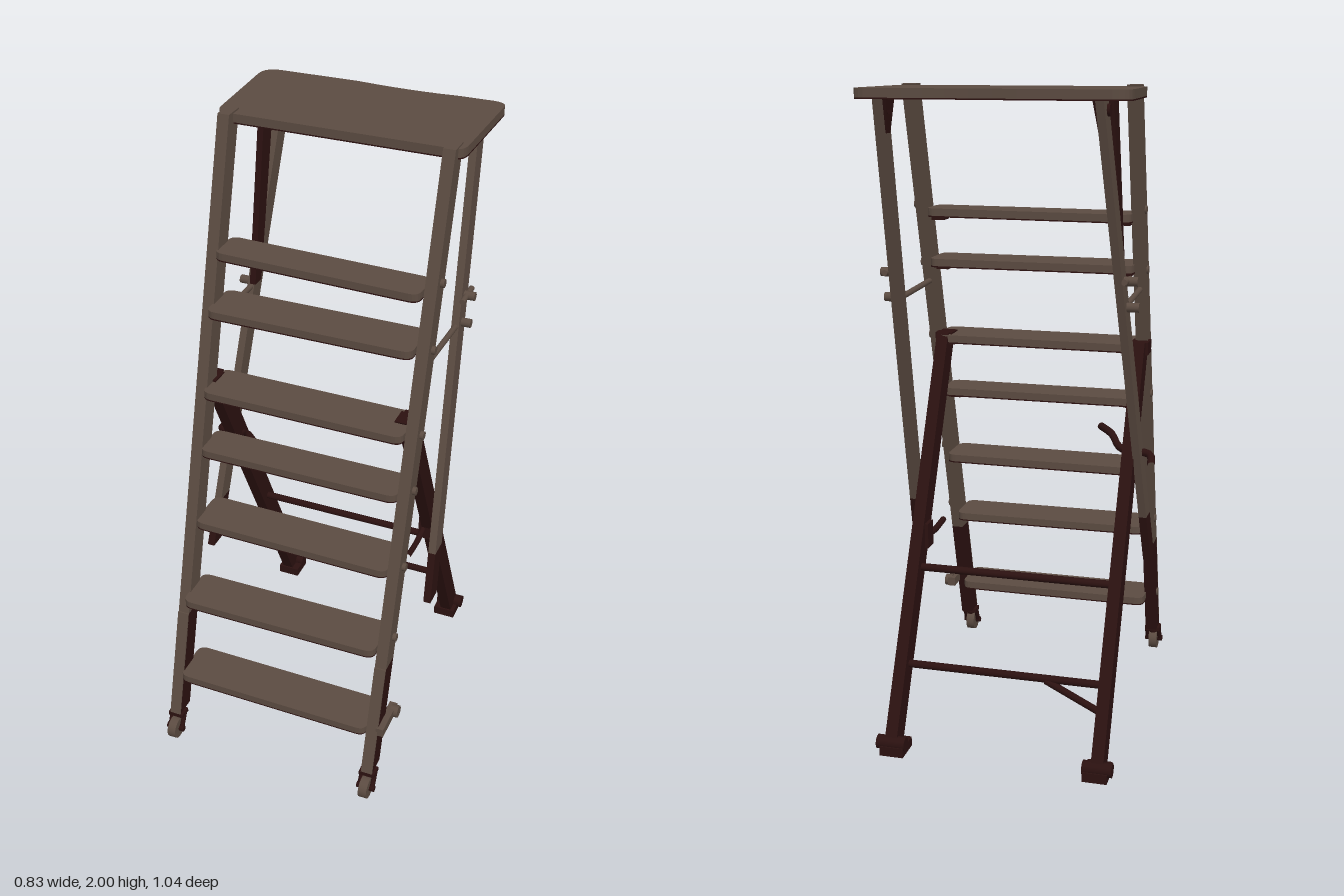
import * as THREE from 'three';

export function createModel() {
  const model = new THREE.Group();
  model.name = 'stepladder';
  const brown = new THREE.MeshStandardMaterial({ color: 0x5b4b41 });
  brown.name = 'weathered brown';
  const dark = new THREE.MeshStandardMaterial({ color: 0x2b1110 });
  dark.name = 'dark red brown';

  const add = (name, geometry, material, x = 0, y = 0, z = 0) => {
    const mesh = new THREE.Mesh(geometry, material);
    mesh.name = name;
    mesh.position.set(x, y, z);
    model.add(mesh);
    return mesh;
  };

  // Leaning bar with level ends, w wide in x and d deep in z
  const lean = (name, a, b, w, d, material, topD = d) => {
    const g = new THREE.BoxGeometry(w, a[1] - b[1], d);
    const p = g.attributes.position;
    for (let i = 0; i < p.count; i++) {
      const top = p.getY(i) > 0;
      const end = top ? a : b;
      p.setXYZ(i, p.getX(i) + end[0], end[1], p.getZ(i) * (top ? topD / d : 1) + end[2]);
    }
    g.computeVertexNormals();
    return add(name, g, material);
  };

  // Round rod between two points
  const rod = (name, a, b, r, material) => {
    const s = new THREE.Vector3(...a), e = new THREE.Vector3(...b);
    const m = add(name, new THREE.CylinderGeometry(r, r, s.distanceTo(e), 10), material);
    m.position.copy(s).lerp(e, 0.5);
    m.quaternion.setFromUnitVectors(new THREE.Vector3(0, 1, 0), e.sub(s).normalize());
    return m;
  };

  // Horizontal board from an outline in x and z, its top face at y = 0
  const board = (shape, depth) => {
    const g = new THREE.ExtrudeGeometry(shape, { depth, bevelEnabled: false, curveSegments: 5 });
    return g.rotateX(Math.PI / 2);
  };
  const rounded = (x0, x1, z0, z1, r) => {
    const s = new THREE.Shape();
    s.moveTo(x0 + r, z0);
    s.lineTo(x1 - r, z0).quadraticCurveTo(x1, z0, x1, z0 + r);
    s.lineTo(x1, z1 - r).quadraticCurveTo(x1, z1, x1 - r, z1);
    s.lineTo(x0 + r, z1).quadraticCurveTo(x0, z1, x0, z1 - r);
    s.lineTo(x0, z0 + r).quadraticCurveTo(x0, z0, x0 + r, z0);
    return s;
  };

  const railZ = y => 0.455 - (y - 0.1) * 0.279;
  const strutZ = y => -0.42 + (1.97 - y) * 0.329;
  const legZ = y => 0.1 - (1.2 - y) * 0.4915;

  // Top platform with a slightly wavy back edge
  const top = new THREE.Shape();
  top.moveTo(-0.34, -0.465);
  top.lineTo(-0.08, -0.465);
  top.quadraticCurveTo(0.1, -0.445, 0.25, -0.46);
  top.lineTo(0.36, -0.46);
  top.quadraticCurveTo(0.4, -0.455, 0.397, -0.42);
  top.lineTo(0.392, -0.1);
  top.quadraticCurveTo(0.39, -0.06, 0.36, -0.062);
  top.lineTo(-0.33, -0.068);
  top.quadraticCurveTo(-0.367, -0.07, -0.37, -0.11);
  top.lineTo(-0.388, -0.41);
  top.quadraticCurveTo(-0.39, -0.46, -0.34, -0.465);
  add('platform', board(top, 0.026), brown, 0, 1.995, 0);
  add('platformUnderside', board(top, 0.004), dark, 0, 1.969, 0);

  // Treads: height, back z, front z, slight twist
  [
    [1.62, -0.025, 0.095, -0.04], [1.46, 0.005, 0.155, 0],
    [1.205, 0.06, 0.21, -0.01], [1.015, 0.12, 0.245, 0],
    [0.775, 0.155, 0.305, -0.01], [0.535, 0.26, 0.41, 0.01],
    [0.258, 0.315, 0.465, 0],
  ].forEach(([y, z0, z1, twist]) => {
    const c = (z0 + z1) / 2, h = (z1 - z0) / 2;
    const shape = rounded(-0.316, 0.336, -h, h, 0.03);
    add('tread', board(shape, 0.023), brown, 0, y, c).rotation.y = twist;
    add('treadUnderside', board(shape, 0.004), dark, 0, y - 0.023, c).rotation.y = twist;
    // small support under the tread ends
    for (const x of [-0.285, 0.305])
      add('treadBracket', new THREE.BoxGeometry(0.04, 0.012, h * 0.9), dark, x, y - 0.032, c);
  });

  for (const side of [-1, 1]) {
    const railX = side < 0 ? -0.329 : 0.355;

    // Front rail: darker lower part with a brown front facing
    lean('frontRail', [railX, 2, railZ(2)], [railX, 0.46, railZ(0.46)], 0.037, 0.066, brown);
    lean('frontRailLower', [railX, 0.46, railZ(0.46)], [railX, 0.1, railZ(0.1)], 0.037, 0.066, dark);
    lean('frontRailFacing', [railX, 0.46, railZ(0.46) + 0.034], [railX, 0.1, railZ(0.1) + 0.034],
      0.037, 0.006, brown);

    // Caster under each rail
    rod('casterStem', [railX, 0.14, 0.455], [railX, 0.075, 0.472], 0.014, dark);
    for (const s of [-1, 1])
      rod('casterFork', [railX + s * 0.021, 0.092, 0.465], [railX + s * 0.021, 0.04, 0.492], 0.008, dark);
    add('casterCrown', new THREE.BoxGeometry(0.052, 0.014, 0.04), dark, railX, 0.09, 0.47);
    add('casterWheel', new THREE.CylinderGeometry(0.036, 0.036, 0.028, 20).rotateZ(Math.PI / 2),
      brown, railX, 0.04, 0.493);
    rod('casterAxle', [railX - 0.03, 0.04, 0.493], [railX + 0.03, 0.04, 0.493], 0.01, dark);

    // Upper strut, splayed outwards towards its loose lower end
    const strutX = y => side < 0 ? -0.302 - (1.97 - y) * 0.05 : 0.325 + (1.97 - y) * 0.053;
    const at = y => [strutX(y), y, strutZ(y)];
    lean('upperStrut', at(1.97), at(0.67), 0.024, 0.064, brown);
    lean('upperStrutEnd', at(0.67), at(0.51), 0.024, 0.064, dark);
    lean('strutBracket', [strutX(1.97) - side * 0.015, 1.97, -0.4],
      [strutX(1.86) - side * 0.008, 1.87, -0.385], 0.016, 0.03, dark, 0.07);
    rod('strutStay', [railX, 1.38, 0.07], [strutX(1.37), 1.37, -0.2], 0.009, brown);

    // Rear leg and foot
    const legX = side < 0 ? -0.328 : 0.315;
    lean('rearLeg', [legX, 1.21, legZ(1.21)], [legX, 0.03, legZ(0.03)], 0.038, 0.075, dark);
    add('rearFoot', new THREE.BoxGeometry(0.075, 0.03, 0.085), dark, legX - side * 0.005, 0.02, -0.472);
    rod('footPin', [legX - 0.045, 0.04, -0.49], [legX + 0.045, 0.04, -0.49], 0.022, dark);
    add('legHinge', new THREE.BoxGeometry(0.055, 0.04, 0.06), dark, legX, 1.19, 0.11);

    // Bolts along the rail and strut
    for (const y of [1.63, 1.44, 1.19, 1.02, 0.78, 0.55, 0.25]) {
      const big = side > 0 ? 0.03 : 0.024;
      rod('railBolt', [railX, y, railZ(y)], [railX + side * big, y, railZ(y)], 0.013, brown);
    }
    for (const y of [1.455, 1.375])
      rod('strutBolt', [strutX(y), y, strutZ(y)],
        [side < 0 ? -0.38 : 0.398, y, strutZ(y)], 0.014, brown);
    rod('strutCatch', [strutX(1.455) + side * 0.02, 1.455, -0.2],
      [strutX(1.455) + side * 0.02, 1.458, -0.295], 0.009, brown);
    rod('topBolt', [strutX(1.94) - 0.02, 1.94, -0.4], [strutX(1.94) + 0.02, 1.94, -0.4], 0.018, dark);
  }

  // Extra brace beside one strut
  lean('sideBrace', [-0.305, 1.97, -0.285], [-0.325, 1.38, -0.215], 0.02, 0.045, dark, 0.065);

  // Rungs between the rear legs and their corner brace
  for (const y of [0.52, 0.25])
    rod('rearRung', [-0.328, y, legZ(y)], [0.315, y, legZ(y)], 0.012, dark);
  rod('rungBrace', [-0.31, 0.18, legZ(0.18)], [-0.14, 0.245, legZ(0.245)], 0.011, dark);

  // Locking lever where strut and leg cross
  const lever = new THREE.CatmullRomCurve3([
    [-0.405, 0.87, -0.11], [-0.39, 0.89, -0.06], [-0.3, 0.9, -0.05],
    [-0.26, 0.93, 0.0], [-0.215, 0.94, 0.05],
  ].map(p => new THREE.Vector3(...p)));
  add('lockingLever', new THREE.TubeGeometry(lever, 20, 0.012, 8), dark);

  // Curved latch on the rear leg
  const latch = new THREE.CatmullRomCurve3([
    [0.3, 0.6, 0.0], [0.3, 0.595, -0.1], [0.3, 0.61, -0.16], [0.305, 0.65, -0.18],
  ].map(p => new THREE.Vector3(...p)));
  add('legLatch', new THREE.TubeGeometry(latch, 16, 0.01, 8), dark);
  add('latchMount', new THREE.BoxGeometry(0.05, 0.08, 0.05), dark, 0.31, 0.61, -0.175);

  // Clamp at the foot of one rail
  add('railClamp', new THREE.BoxGeometry(0.025, 0.03, 0.13), brown, 0.38, 0.25, 0.385);
  rod('clampKnob', [0.38, 0.25, 0.34], [0.405, 0.25, 0.34], 0.02, brown);
  return model;
}
